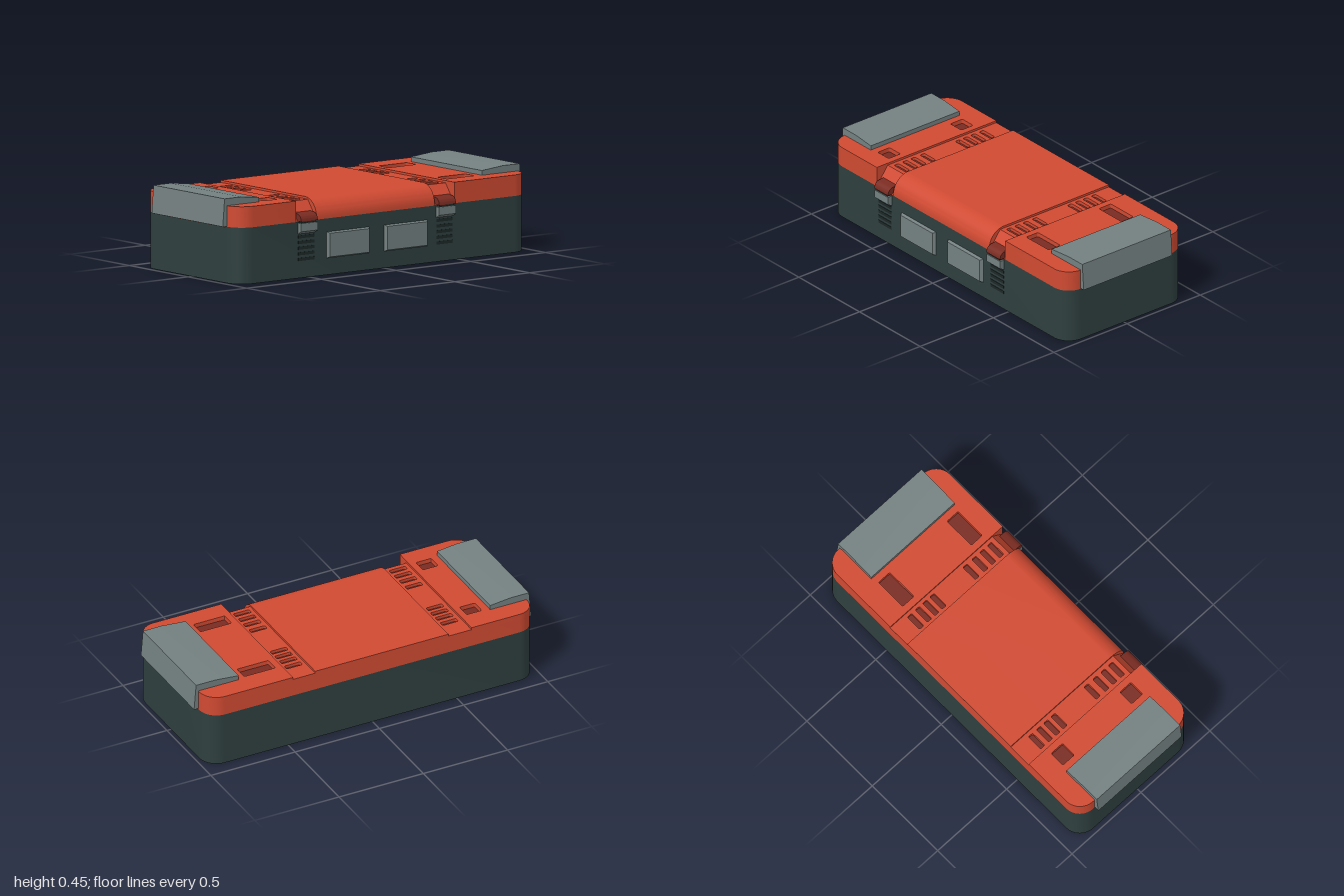
import * as THREE from 'three';
import { toCreasedNormals } from 'three/addons/utils/BufferGeometryUtils.js';

const mat = (name, color) => new THREE.MeshStandardMaterial({ name, color });

export function createModel() {
  const root = new THREE.Group();
  root.name = 'toolCase';
  const red = mat('lid red', 0xd04a32);
  const darkRed = mat('dark red', 0x7a2b21);
  const grey = mat('grey', 0x748080);
  const dark = mat('dark slate', 0x2f3f3f);
  const black = mat('slot black', 0x1d2727);
  const X0 = -0.422, X1 = 0.395, Z0 = -0.975, Z1 = 0.972, R = 0.1;

  const add = (name, geo, material) => {
    const m = new THREE.Mesh(geo, material);
    m.name = name;
    root.add(m);
    return m;
  };
  const extrude = (shape, depth) => toCreasedNormals(
    new THREE.ExtrudeGeometry(shape, { depth, bevelEnabled: false, curveSegments: 8 }), 0.5);

  // rectangle with separate corner radii for its low and high second axis
  const rect = (x0, x1, z0, z1, rLow, rHigh, Type = THREE.Shape) => {
    const s = new Type();
    s.moveTo(x0 + rLow, z0);
    s.lineTo(x1 - rLow, z0);
    if (rLow) s.absarc(x1 - rLow, z0 + rLow, rLow, -Math.PI / 2, 0);
    s.lineTo(x1, z1 - rHigh);
    if (rHigh) s.absarc(x1 - rHigh, z1 - rHigh, rHigh, 0, Math.PI / 2);
    s.lineTo(x0 + rHigh, z1);
    if (rHigh) s.absarc(x0 + rHigh, z1 - rHigh, rHigh, Math.PI / 2, Math.PI);
    s.lineTo(x0, z0 + rLow);
    if (rLow) s.absarc(x0 + rLow, z0 + rLow, rLow, Math.PI, Math.PI * 1.5);
    return s;
  };
  // slab: plan shape (x, z) filling y0..y1
  const slab = (name, shape, y0, y1, material) =>
    add(name, extrude(shape, y1 - y0).rotateX(Math.PI / 2).translate(0, y1, 0), material);
  // prism: profile (x, y) filling z0..z1
  const poly = pts => new THREE.Shape(pts.map(p => new THREE.Vector2(...p)));
  const prism = (name, shape, z0, z1, material) =>
    add(name, extrude(shape, z1 - z0).translate(0, 0, z0), material);
  const box = (name, x0, x1, y0, y1, z0, z1, material) =>
    add(name, new THREE.BoxGeometry(x1 - x0, y1 - y0, z1 - z0)
      .translate((x0 + x1) / 2, (y0 + y1) / 2, (z0 + z1) / 2), material);
  // slab pierced by pockets that end on dark floors
  const pierced = (name, shape, y0, y1, pockets) => {
    for (const [a, b, c, d] of pockets) {
      shape.holes.push(rect(a, b, c, d, 0.008, 0.008, THREE.Path));
      box('ventFloor', a, b, y0 - 0.003, y0 + 0.003, c, d, darkRed);
    }
    slab(name, shape, y0, y1, red);
  };

  // case body
  slab('body', rect(X0, X1, Z0, Z1, R, R), 0, 0.3, dark);

  // lid centre with one rounded long edge
  const mid = new THREE.Shape();
  mid.moveTo(X0, 0.3);
  mid.lineTo(X1, 0.3);
  mid.lineTo(X1, 0.312);
  mid.absarc(X1 - R, 0.312, R, 0, Math.PI / 2);
  mid.lineTo(X0, 0.412);
  prism('lidCentre', mid, -0.34, 0.45, red);

  // lid end blocks with two vents each
  const ends = [
    { z0: 0.588, z1: Z1, rl: 0, rh: R, v: [0.625, 0.715] },
    { z0: Z0, z1: -0.472, rl: R, rh: 0, v: [-0.695, -0.51] },
  ];
  for (const e of ends) {
    slab('lidEndBase', rect(X0, X1, e.z0, e.z1, e.rl, e.rh), 0.3, 0.385, red);
    pierced('lidEndTop', rect(X0, X1, e.z0, e.z1, e.rl, e.rh), 0.385, 0.412,
      [[-0.295, -0.213, ...e.v], [0.203, 0.283, ...e.v]]);
  }

  // latch channels across the lid, with slots, latch and side grooves
  const slots = [-0.3, -0.243, -0.19, -0.137, 0.103, 0.167, 0.224, 0.28];
  for (const [z0, z1] of [[0.45, 0.588], [-0.472, -0.34]]) {
    const zc = (z0 + z1) / 2;
    prism('channelBase', poly([[X0, 0.3], [X1, 0.3], [0.32, 0.4], [0.31, 0.4],
      [0.31, 0.38], [X0, 0.38]]), z0, z1, red);
    pierced('channelTop', rect(X0, 0.31, z0, z1, 0, 0), 0.38, 0.4,
      slots.map(x => [x - 0.015, x + 0.015, zc - 0.047, zc + 0.047]));

    const cap = new THREE.Shape();
    cap.moveTo(0.35, 0.303);
    cap.lineTo(0.422, 0.303);
    cap.lineTo(0.422, 0.31);
    cap.quadraticCurveTo(0.418, 0.335, 0.393, 0.342);
    cap.lineTo(0.35, 0.347);
    prism('latchCap', cap, zc - 0.056, zc + 0.056, darkRed);
    box('latchPin', 0.39, 0.416, 0.29, 0.304, zc - 0.045, zc + 0.045, black);
    prism('latchClip', poly([[0.39, 0.235], [X1, 0.235], [0.422, 0.25], [0.422, 0.293],
      [0.39, 0.293]]), zc - 0.056, zc + 0.056, grey);
    for (let i = 0; i < 5; i++) {
      const y = 0.099 + i * 0.03;
      box('sideGroove', X1 - 0.003, X1 + 0.002, y - 0.008, y + 0.008, zc - 0.054, zc + 0.054, black);
    }
  }

  // bevelled side panels: a box whose outer face is inset
  for (const [z0, z1] of [[0.095, 0.385], [-0.295, 0.0]]) {
    const g = new THREE.BoxGeometry(0.02, 0.142, z1 - z0).toNonIndexed();
    const p = g.attributes.position;
    for (let i = 0; i < p.count; i++) {
      if (p.getX(i) < 0) continue;
      p.setY(i, p.getY(i) - Math.sign(p.getY(i)) * 0.008);
      p.setZ(i, p.getZ(i) - Math.sign(p.getZ(i)) * 0.014);
    }
    g.computeVertexNormals();
    add('sidePanel', g.translate(0.401, 0.159, (z0 + z1) / 2), grey);
  }

  // end bumpers wrapping over the lid
  for (const [s, inner] of [[1, 0.757], [-1, 0.735]]) {
    const shape = poly([[inner, 0.4], [inner, 0.437], [0.875, 0.45], [0.988, 0.45],
      [1, 0.302], [0.965, 0.302], [0.965, 0.4]].map(([z, y]) => [s * z, y]));
    add('bumper', extrude(shape, 0.605).rotateY(-Math.PI / 2).translate(0.296, 0, 0), grey);
    const a = s * 0.96, b = s * 0.995;
    box('bumperLip', -0.305, 0.292, 0.3, 0.304, Math.min(a, b), Math.max(a, b), red);
  }
  return root;
}
